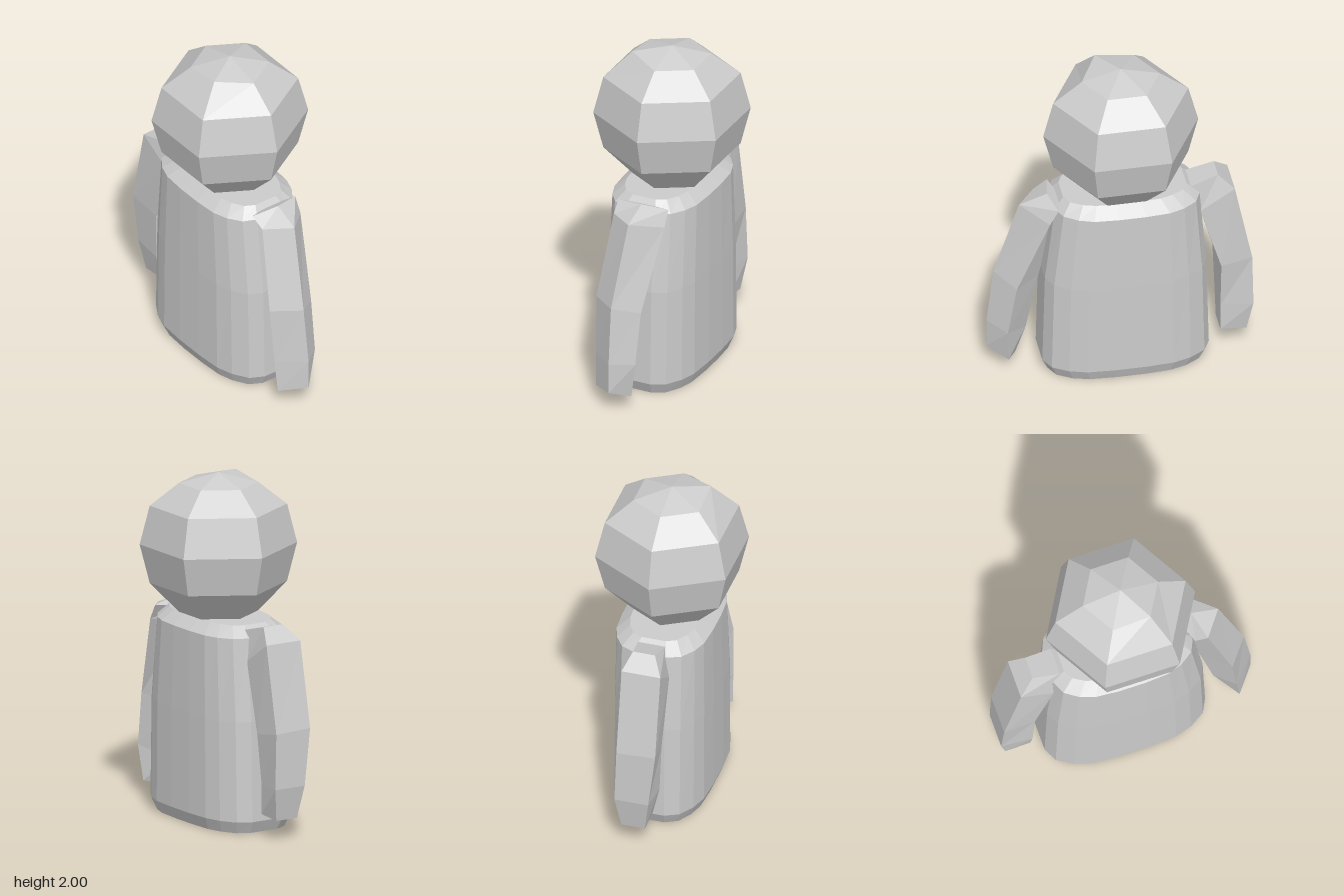
import * as THREE from 'three';

// Skin cross-sections (bottom to top, counter-clockwise from above) and cap both ends.
function loft(name, rings) {
  const pos = [];
  const tri = (...pts) => pts.forEach((p) => pos.push(...p));
  const n = rings[0].length;
  const centre = (ring) => [0, 1, 2].map((k) => ring.reduce((s, p) => s + p[k], 0) / n);
  const top = rings[rings.length - 1], low = centre(rings[0]), high = centre(top);
  for (let i = 0; i < n; i++) {
    const j = (i + 1) % n;
    for (let r = 0; r < rings.length - 1; r++) {
      const a = rings[r], b = rings[r + 1];
      tri(a[i], a[j], b[j]);
      tri(a[i], b[j], b[i]);
    }
    tri(rings[0][j], rings[0][i], low);
    tri(top[i], top[j], high);
  }
  const geo = new THREE.BufferGeometry();
  geo.setAttribute('position', new THREE.Float32BufferAttribute(pos, 3));
  geo.computeVertexNormals();
  const mesh = new THREE.Mesh(geo, new THREE.MeshStandardMaterial({ color: 0xcccccc, flatShading: true }));
  mesh.name = name;
  return mesh;
}

// Six-sided ball with one raised vertex near the crown
function makeHead() {
  const levels = [[1.17, 0.01], [1.19, 0.225], [1.36, 0.39], [1.585, 0.447], [1.81, 0.39], [1.94, 0.225], [2, 0.001]];
  const rings = levels.map(([y, r], level) => Array.from({ length: 6 }, (_, i) => {
    const a = (i * Math.PI) / 3;
    const lift = level === 5 && i === 5 ? 0.03 : 0;
    return [r * Math.sin(a), y + lift, r * Math.cos(a) - 0.01];
  }));
  return loft('head', rings);
}

// Flattened barrel with bevelled ends
function makeBody() {
  const quarter = [[0.1, 0.48], [0.18, 0.44], [0.235, 0.35], [0.265, 0.25], [0.275, 0.09]];
  const back = quarter.map(([x, z]) => [x, -z]).reverse();
  const side = [...quarter, ...back];
  const outline = [...side, ...side.map(([x, z]) => [-x, -z])];
  // y, x scale, z scale, z offset
  const levels = [[0, 0.9, 0.93, -0.02], [0.07, 1, 1, -0.02], [0.65, 1, 0.97, -0.02], [1.13, 0.98, 0.87, -0.03], [1.19, 0.72, 0.74, -0.02]];
  return loft('body', levels.map(([y, sx, sz, dz]) => outline.map(([x, z]) => [x * sx - 0.005, y, z * sz + dz])));
}

export function createModel() {
  const model = new THREE.Group();
  model.name = 'figure';

  // Diamond-section arm: outer ridge, right, inner, left
  const frontArm = loft('frontArm', [
    [[-0.02, 0.13, 0.76], [0.07, 0.08, 0.65], [-0.04, 0.05, 0.59], [-0.155, 0.1, 0.65]],
    [[-0.02, 0.31, 0.76], [0.1, 0.29, 0.66], [-0.04, 0.22, 0.53], [-0.165, 0.3, 0.63]],
    [[-0.025, 0.65, 0.72], [0.11, 0.6, 0.61], [-0.03, 0.58, 0.46], [-0.175, 0.64, 0.6]],
    [[0.015, 1.13, 0.58], [0.17, 1.08, 0.43], [0, 1.05, 0.36], [-0.13, 1.12, 0.47]],
    [[0.02, 1.19, 0.42], [0.17, 1.17, 0.38], [0, 1.15, 0.34], [-0.14, 1.17, 0.39]],
  ]);

  // Box-section arm: outer and inner corners
  const backArm = loft('backArm', [
    [[-0.06, 0.12, -0.72], [-0.06, 0.13, -0.57], [0.08, 0.13, -0.57], [0.08, 0.12, -0.72]],
    [[-0.09, 0.31, -0.755], [-0.1, 0.3, -0.57], [0.08, 0.3, -0.57], [0.11, 0.31, -0.755]],
    [[-0.13, 0.64, -0.75], [-0.11, 0.6, -0.56], [0.11, 0.6, -0.57], [0.1, 0.63, -0.75]],
    [[-0.13, 1.13, -0.65], [-0.12, 1, -0.45], [0.1, 1, -0.45], [0.1, 1.13, -0.65]],
    [[-0.07, 1.215, -0.56], [-0.08, 1.17, -0.4], [0.08, 1.17, -0.4], [0.06, 1.215, -0.56]],
  ]);

  model.add(makeHead(), makeBody(), frontArm, backArm);
  return model;
}
